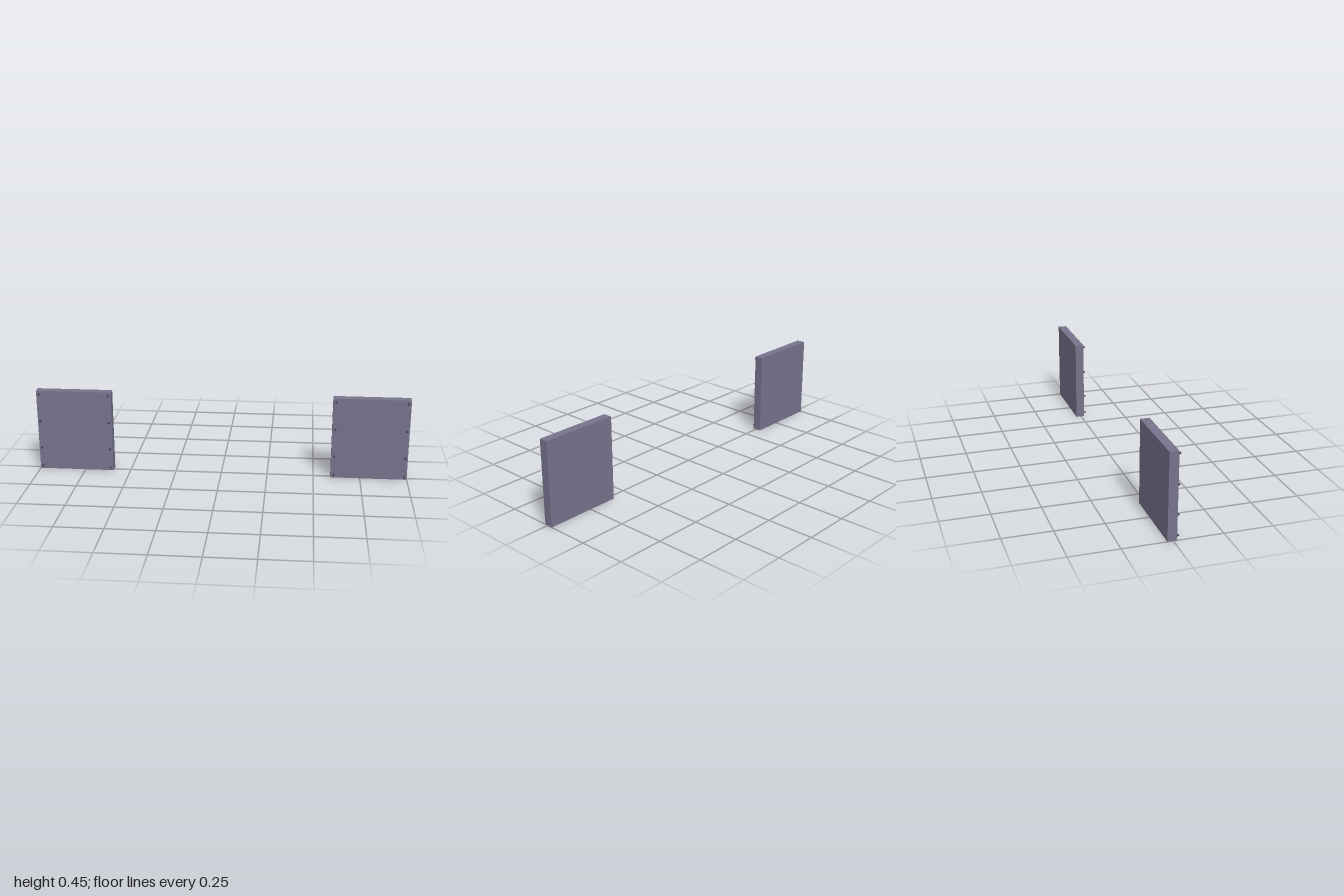
import * as THREE from 'three';

export function createModel() {
  const model = new THREE.Group();
  const panelMaterial = new THREE.MeshStandardMaterial({ color: 0x77738c });
  const studMaterial = new THREE.MeshStandardMaterial({ color: 0x44444e });

  const width = 0.407, height = 0.447, depth = 0.047;
  const panelGeometry = new THREE.BoxGeometry(width, height, depth);
  const studGeometry = new THREE.CylinderGeometry(0.0055, 0.0055, 0.01, 12).rotateX(Math.PI / 2);

  // Two matching panels, each with a column of studs along both side edges
  for (const side of [-1, 1]) {
    const half = new THREE.Group();
    half.name = side > 0 ? 'leftPanel' : 'rightPanel';
    half.position.x = side * (1 - width / 2);

    const panel = new THREE.Mesh(panelGeometry, panelMaterial);
    panel.name = 'panel';
    panel.position.set(0, height / 2, -0.0055);
    half.add(panel);

    // Studs stand just clear of the front face
    for (const x of [-0.188, 0.188]) {
      for (const y of [0.018, 0.124, 0.276, 0.429]) {
        const stud = new THREE.Mesh(studGeometry, studMaterial);
        stud.name = 'stud';
        stud.position.set(x, y, 0.025);
        half.add(stud);
      }
    }
    model.add(half);
  }
  return model;
}
